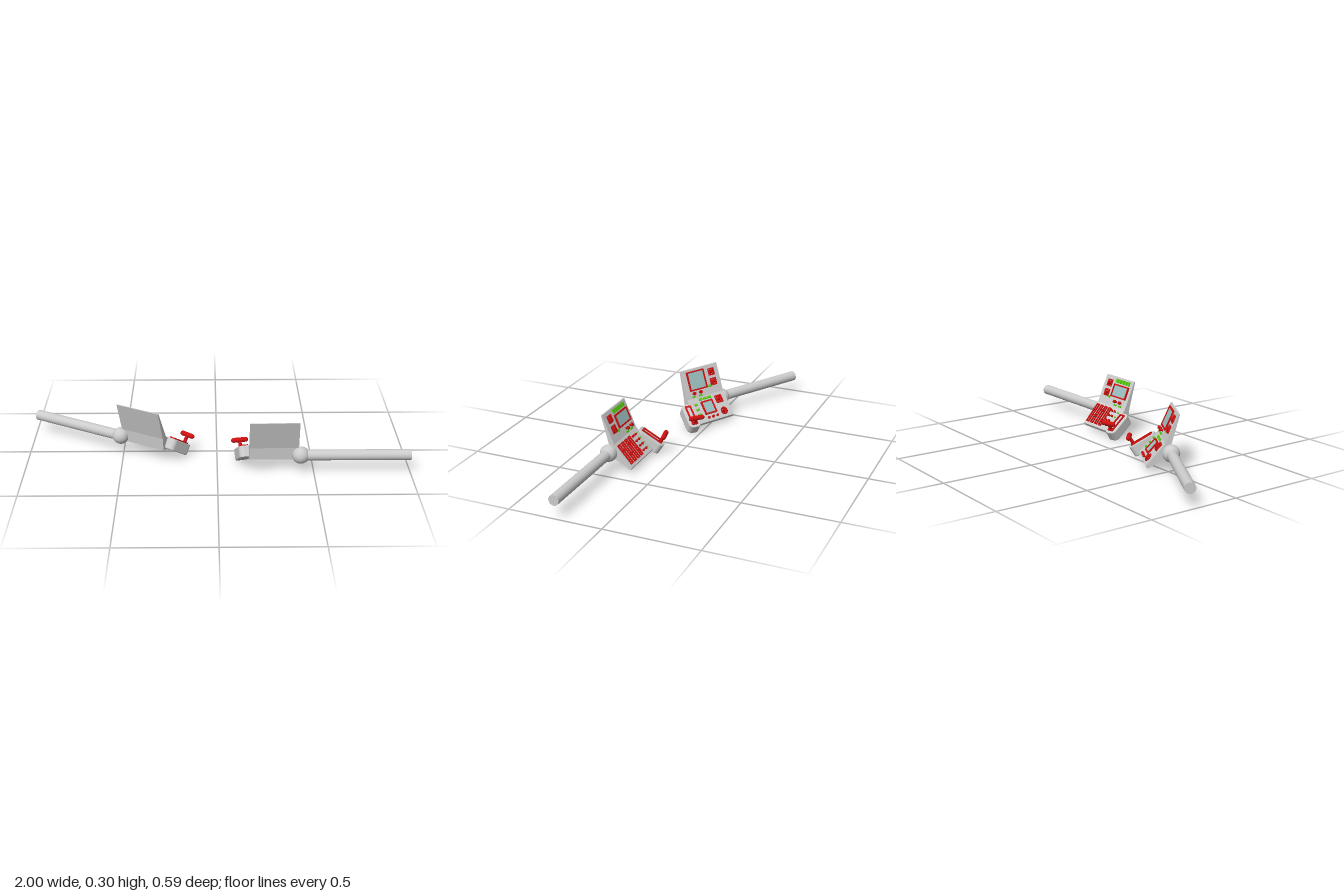
import * as THREE from 'three';

const paint = (color) => new THREE.MeshStandardMaterial({ color });
const GREY = paint(0xcccccc), RED = paint(0xd01010), GREEN = paint(0x55cc10), GLASS = paint(0x9cc0c0);
const rad = THREE.MathUtils.degToRad;

function add(parent, name, geo, mat, x = 0, y = 0, z = 0) {
  const mesh = new THREE.Mesh(geo, mat);
  mesh.name = name;
  mesh.position.set(x, y, z);
  parent.add(mesh);
  return mesh;
}

// group whose y axis is the normal of a working surface and whose z axis points up the slope
function surface(parent, name, y, z, pitch) {
  const g = new THREE.Group();
  g.name = name;
  g.position.set(0, y, z);
  g.rotation.x = rad(-pitch);
  parent.add(g);
  return g;
}

function roundedRect(w, l, r, Type = THREE.Shape) {
  const p = new Type(), a = w / 2, b = l / 2;
  p.moveTo(-a + r, -b);
  p.lineTo(a - r, -b);
  p.absarc(a - r, -b + r, r, -Math.PI / 2, 0);
  p.absarc(a - r, b - r, r, 0, Math.PI / 2);
  p.absarc(-a + r, b - r, r, Math.PI / 2, Math.PI);
  p.absarc(-a + r, -b + r, r, Math.PI, Math.PI * 1.5);
  return p;
}

// upright rim lying on a surface
function frame(parent, name, x, z, w, l, t, h = 0.008) {
  const s = roundedRect(w, l, 0.004);
  s.holes.push(roundedRect(w - 2 * t, l - 2 * t, 0.002, THREE.Path));
  const geo = new THREE.ExtrudeGeometry(s, { depth: h, bevelEnabled: false, curveSegments: 4 });
  add(parent, name, geo.rotateX(-Math.PI / 2), RED, x, 0, z);
}

function screen(parent, x, z, w, l) {
  frame(parent, 'screenFrame', x, z, w, l, 0.008);
  add(parent, 'screenGlass', new THREE.BoxGeometry(w - 0.015, 0.006, l - 0.015), GLASS, x, 0.001, z);
}

function button(parent, x, z, w = 0.012, l = 0.008) {
  add(parent, 'greenButton', new THREE.BoxGeometry(w, 0.006, l), GREEN, x, 0.002, z);
}

function knob(parent, x, z, r, h) {
  add(parent, 'knobStem', new THREE.CylinderGeometry(r * 0.5, r * 0.6, h, 12), RED, x, h / 2, z);
  add(parent, 'knobCap', new THREE.CylinderGeometry(r * 0.85, r, h * 0.5, 16), RED, x, h * 0.85, z);
}

// ringed dial, optionally on a square plate
function dial(parent, x, z, r, plate) {
  if (plate) frame(parent, 'dialPlate', x, z, r * 2.3, r * 2.3, 0.005, 0.005);
  const ring = new THREE.TorusGeometry(r * 0.82, r * 0.2, 8, 24).rotateX(Math.PI / 2);
  add(parent, 'dialRing', ring, RED, x, 0.004, z);
  add(parent, 'dialHub', new THREE.CylinderGeometry(r * 0.45, r * 0.5, 0.014, 16), RED, x, 0.006, z);
  add(parent, 'dialPointer', new THREE.BoxGeometry(r * 0.25, 0.006, r * 1.3), RED, x, 0.013, z).rotation.y = 0.6;
}

function slider(parent, x, z, l, pos) {
  frame(parent, 'sliderTrack', x, z, 0.024, l, 0.006, 0.007);
  add(parent, 'sliderGrip', new THREE.BoxGeometry(0.016, 0.014, 0.012), RED, x, 0.006, z + pos);
}

// hand lever block beside the desk
function leverPod(parent, s) {
  const pod = new THREE.Group();
  pod.name = 'leverPod';
  pod.position.set(s * 0.293, 0.068, -0.093);
  pod.rotation.set(rad(-33), -s * rad(12), 0, 'YXZ');
  parent.add(pod);
  const body = new THREE.ExtrudeGeometry(roundedRect(0.062, 0.147, 0.022), {
    depth: 0.052, bevelThickness: 0.004, bevelSize: 0.004, bevelSegments: 2, curveSegments: 8 });
  add(pod, 'podBody', body.rotateX(-Math.PI / 2).translate(0, -0.026, 0), GREY);
  const slot = new THREE.Group();
  slot.name = 'leverSlot';
  slot.position.y = 0.028;
  pod.add(slot);
  frame(slot, 'slotRim', 0, 0, 0.036, 0.125, 0.008);
  add(pod, 'leverStem', new THREE.CylinderGeometry(0.009, 0.01, 0.055, 16), RED, 0, 0.05, -0.05);
  const bar = new THREE.CapsuleGeometry(0.013, 0.066, 4, 16).rotateZ(Math.PI / 2);
  add(pod, 'leverHandle', bar, RED, 0, 0.076, -0.05);
}

// one console on its arm; s is the x direction from the ball joint towards the middle
function buildConsole(name, s, armLength) {
  const g = new THREE.Group();
  g.name = name;
  const arm = new THREE.CylinderGeometry(0.028, 0.028, armLength, 32).rotateZ(Math.PI / 2);
  add(g, 'arm', arm, GREY, -s * armLength / 2, 0.1, 0);
  add(g, 'ballJoint', new THREE.SphereGeometry(0.045, 32, 24), GREY, 0, 0.1, 0);

  // folded body: sloping desk and upright panel in one profile (z, y)
  const profile = new THREE.Shape([
    [0.044, 0.298], [0.037, 0.298], [-0.028, 0.148], [-0.127, 0.035], [-0.118, 0.02],
    [-0.035, 0.066], [-0.004, 0.072], [0.001, 0.14],
  ].map(([z, y]) => new THREE.Vector2(z, y)));
  const body = new THREE.ExtrudeGeometry(profile, { depth: 0.255, bevelEnabled: false });
  body.rotateY(-Math.PI / 2).translate(s > 0 ? 0.265 : -0.01, 0, 0);
  add(g, 'consoleBody', body, GREY);

  leverPod(g, s);
  const upright = surface(g, 'uprightControls', 0.148, -0.028, 66.5);
  const desk = surface(g, 'deskControls', 0.148, -0.028, 48.5);

  // controls shared by both upright panels
  for (const v of [0.065, 0.122]) dial(upright, s * 0.062, v, 0.018, true);
  for (const u of [0.17, 0.215]) {
    knob(upright, s * u, 0.027, 0.01, 0.018);
    button(upright, s * u, 0.008, 0.022, 0.01);
  }
  button(upright, s * 0.095, 0.045, 0.016, 0.014);
  return { g, upright, desk };
}

export function createModel() {
  const model = new THREE.Group();
  model.name = 'controlConsoles';

  // left console: wide screen, slider bank and knob rows
  const left = buildConsole('leftConsole', -1, 0.57);
  left.g.position.set(0.43, 0, 0.25);
  screen(left.upright, -0.175, 0.087, 0.135, 0.075);
  for (let i = 0; i < 5; i++) button(left.upright, -0.122 - i * 0.026, 0.143, 0.02, 0.022);
  [0.02, -0.015, 0.03, -0.03].forEach((pos, i) => slider(left.desk, -0.033 - i * 0.038, -0.075, 0.12, pos));
  for (let row = 0; row < 4; row++) {
    for (const u of [0.178, 0.205]) knob(left.desk, -u, -0.03 - row * 0.03, 0.007, 0.012);
    button(left.desk, -0.23, -0.03 - row * 0.03);
  }
  model.add(left.g);

  // right console: tall screen above, small screen and dials on the desk
  const right = buildConsole('rightConsole', 1, 0.547);
  right.g.position.set(-0.513, 0, 0.005);
  right.g.rotation.y = rad(-30);
  screen(right.upright, 0.172, 0.096, 0.12, 0.11);
  screen(right.desk, 0.15, -0.07, 0.08, 0.08);
  dial(right.desk, 0.063, -0.115, 0.022, false);
  dial(right.desk, 0.063, -0.04, 0.02, true);
  for (let i = 0; i < 3; i++) {
    button(right.desk, 0.12 + i * 0.03, -0.015, 0.022, 0.014);
    knob(right.desk, 0.12 + i * 0.03, -0.13, 0.008, 0.012);
    button(right.desk, 0.225, -0.04 - i * 0.03, 0.018, 0.012);
  }
  model.add(right.g);
  return model;
}
